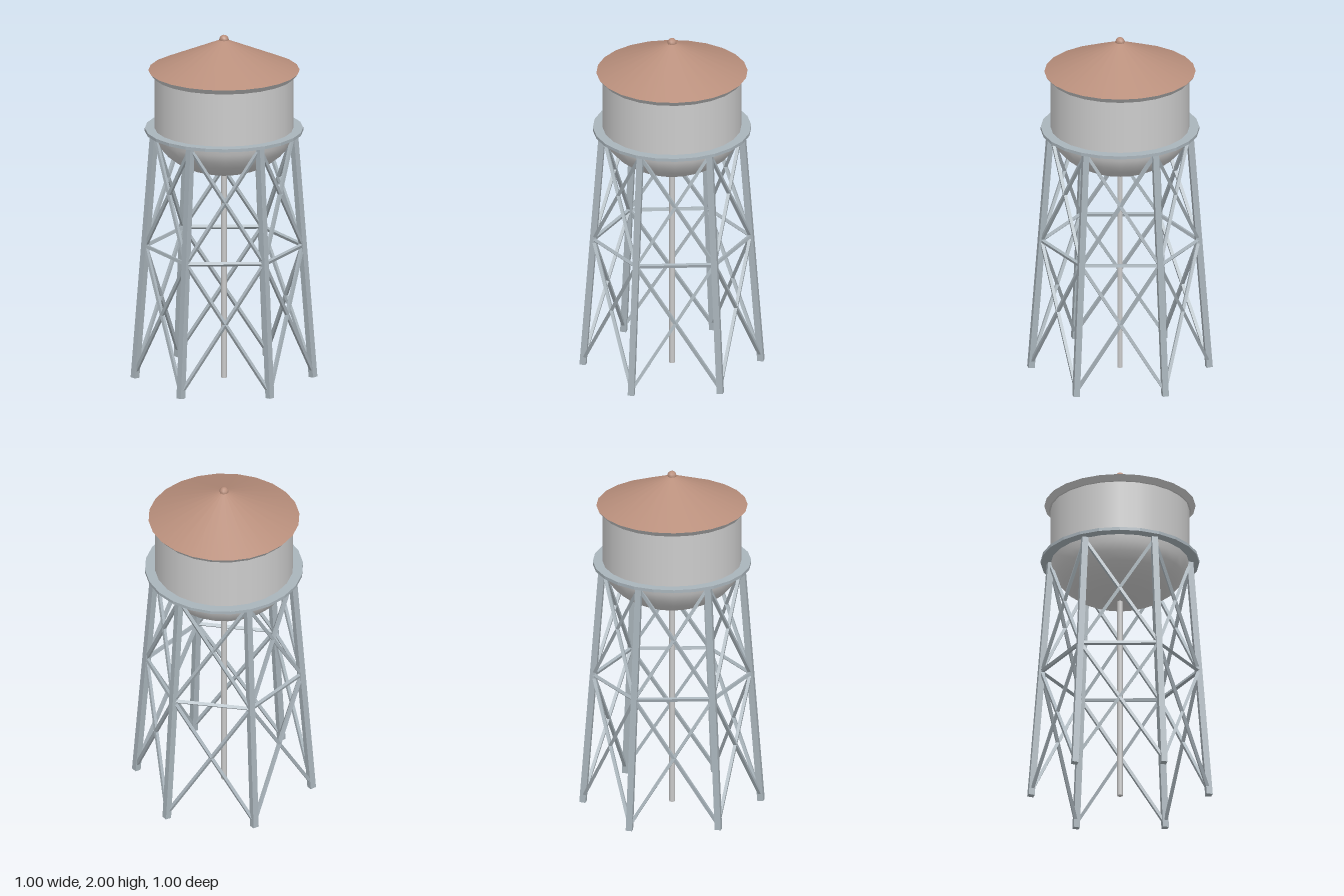
import * as THREE from 'three';

const SIDES = 24, LEGS = 6, PLATFORM_Y = 1.44;

export function createModel() {
  const model = new THREE.Group();
  const grey = new THREE.MeshStandardMaterial({ color: 0xcccccc, side: THREE.DoubleSide });
  const steel = new THREE.MeshStandardMaterial({ color: 0xa9b4bb, flatShading: true });
  const brown = new THREE.MeshStandardMaterial({ color: 0xb98f7c });

  const add = (name, geometry, material, y = 0, parent = model) => {
    const mesh = new THREE.Mesh(geometry, material);
    mesh.name = name;
    mesh.position.y = y;
    parent.add(mesh);
    return mesh;
  };
  const group = (name) => {
    const g = new THREE.Group();
    g.name = name;
    model.add(g);
    return g;
  };
  const lathe = (points) =>
    new THREE.LatheGeometry(points.map(([r, y]) => new THREE.Vector2(r, y)), SIDES);

  // Square bar between two points
  const bar = (name, a, b, size, parent) => {
    const dir = b.clone().sub(a);
    const mesh = add(name, new THREE.BoxGeometry(size, dir.length(), size), steel, 0, parent);
    mesh.position.copy(a).add(b).multiplyScalar(0.5);
    mesh.quaternion.setFromUnitVectors(new THREE.Vector3(0, 1, 0), dir.normalize());
  };
  // Point on the leaning axis of leg i at height y
  const legPoint = (i, y) => {
    const angle = Math.PI / 12 + (i * Math.PI * 2) / LEGS;
    const r = 0.5 - 0.11 * (y / PLATFORM_Y);
    return new THREE.Vector3(r * Math.cos(angle), y, r * Math.sin(angle));
  };

  // Tank: bowl-shaped bottom running into a straight wall
  const profile = [];
  for (let i = 0; i <= 8; i++) {
    const t = (i / 8) * Math.PI / 2;
    profile.push([0.39 * Math.sin(t), 1.45 - 0.25 * Math.cos(t)]);
  }
  add('tankBowl', lathe(profile), grey);
  add('tankWall', new THREE.CylinderGeometry(0.39, 0.39, 0.34, SIDES, 1, true), grey, 1.62);

  // Roof with flared eave and finial
  add('roofEave', new THREE.CylinderGeometry(0.425, 0.4, 0.03, SIDES), grey, 1.78);
  add('roof', new THREE.ConeGeometry(0.425, 0.185, SIDES), brown, 1.8875);
  add('roofFinial', new THREE.SphereGeometry(0.027, 8, 6), brown, 1.973);

  // Walkway ring around the tank
  add('walkway', lathe([[0.38, 1.44], [0.445, 1.44], [0.445, 1.458], [0.38, 1.458], [0.38, 1.44]]), steel);

  // Central water pipe
  add('riserPipe', new THREE.CylinderGeometry(0.016, 0.016, 1.22, 8), grey, 0.61);

  // Legs, middle ring and two tiers of cross bracing
  const legs = group('legs'), braces = group('braces');
  const tiers = [[0.03, 0.77], [0.77, 1.43]];
  for (let i = 0; i < LEGS; i++) {
    bar('leg', legPoint(i, 0.002), legPoint(i, 1.445), 0.035, legs);
    bar('ringBrace', legPoint(i, 0.77), legPoint(i + 1, 0.77), 0.018, braces);
    for (const [low, high] of tiers) {
      bar('crossBrace', legPoint(i, low), legPoint(i + 1, high), 0.018, braces);
      bar('crossBrace', legPoint(i + 1, low), legPoint(i, high), 0.018, braces);
    }
  }
  return model;
}
